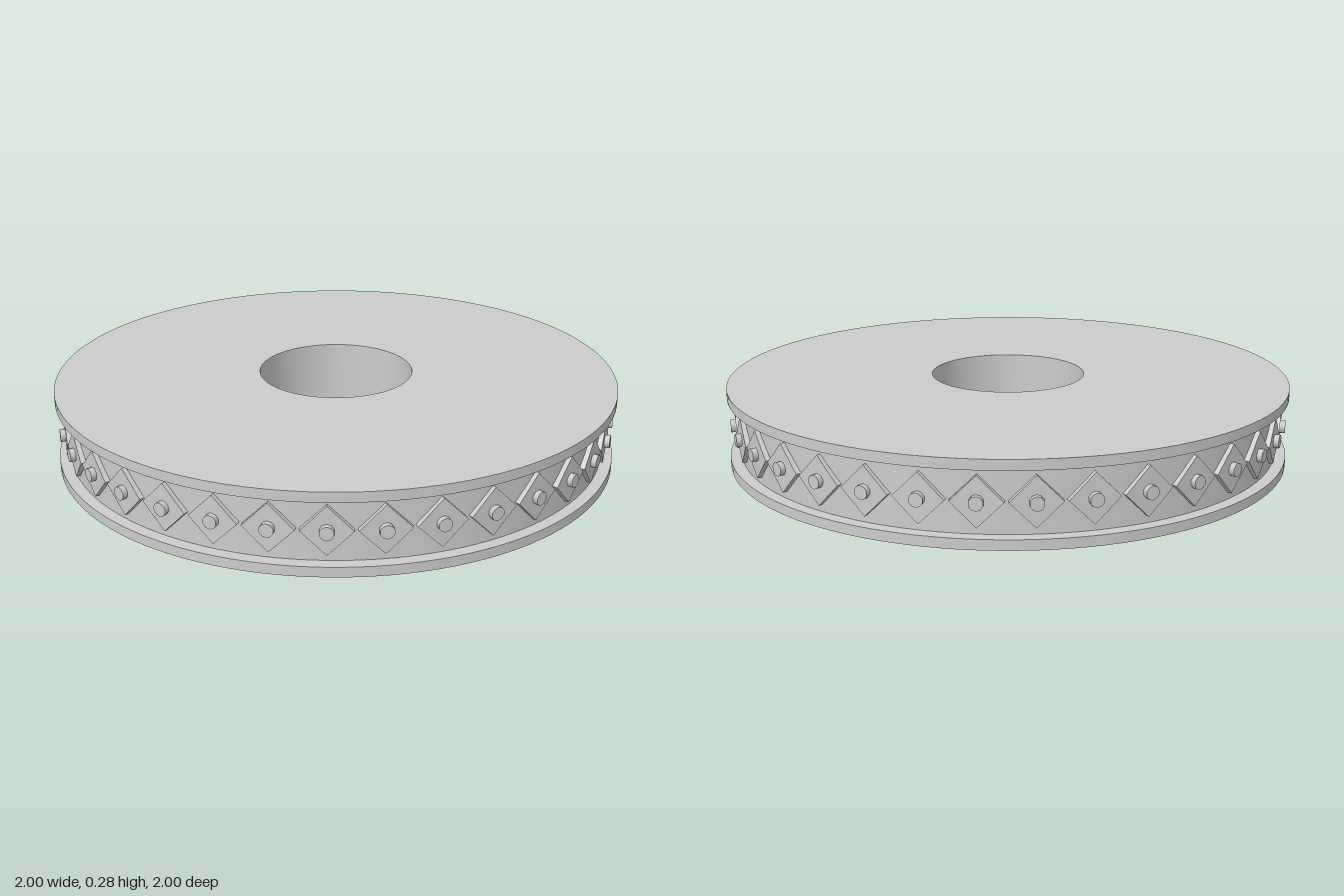
import * as THREE from 'three';
import { toCreasedNormals } from 'three/addons/utils/BufferGeometryUtils.js';

const HEIGHT = 0.278, FLANGE = 0.034;
const OUTER = 1, CORE = 0.96, BORE = 0.275;
const STUDS = 35;

export function createModel() {
  const model = new THREE.Group();
  model.name = 'studdedWheel';
  const material = new THREE.MeshStandardMaterial({ color: 0xcccccc });

  // Wheel body: two thin flanges, a recessed rim and a round bore, as one closed profile
  const profile = [
    [BORE, 0], [OUTER, 0], [OUTER, FLANGE], [CORE, FLANGE],
    [CORE, HEIGHT - FLANGE], [OUTER, HEIGHT - FLANGE], [OUTER, HEIGHT],
    [BORE, HEIGHT], [BORE, 0],
  ].map(([r, y]) => new THREE.Vector2(r, y));
  const body = new THREE.Mesh(
    toCreasedNormals(new THREE.LatheGeometry(profile, 128), Math.PI / 6), material);
  body.name = 'wheelBody';
  model.add(body);

  // Diamond plate, a square turned on its corner, and a round stud; both face +z
  const plateGeometry = new THREE.BoxGeometry(0.115, 0.115, 0.03).rotateZ(Math.PI / 4);
  const studGeometry = new THREE.CylinderGeometry(0.023, 0.023, 0.04, 10).rotateX(Math.PI / 2);

  // Ring of studded diamonds around the rim
  for (let i = 0; i < STUDS; i++) {
    const ornament = new THREE.Group();
    ornament.name = 'rimOrnament';
    const plate = new THREE.Mesh(plateGeometry, material);
    plate.name = 'diamondPlate';
    plate.position.z = 0.96;
    const stud = new THREE.Mesh(studGeometry, material);
    stud.name = 'stud';
    stud.position.z = 0.973;
    ornament.add(plate, stud);
    ornament.position.y = HEIGHT / 2;
    ornament.rotation.y = Math.PI / 2 + (i / STUDS) * Math.PI * 2;
    model.add(ornament);
  }
  return model;
}
